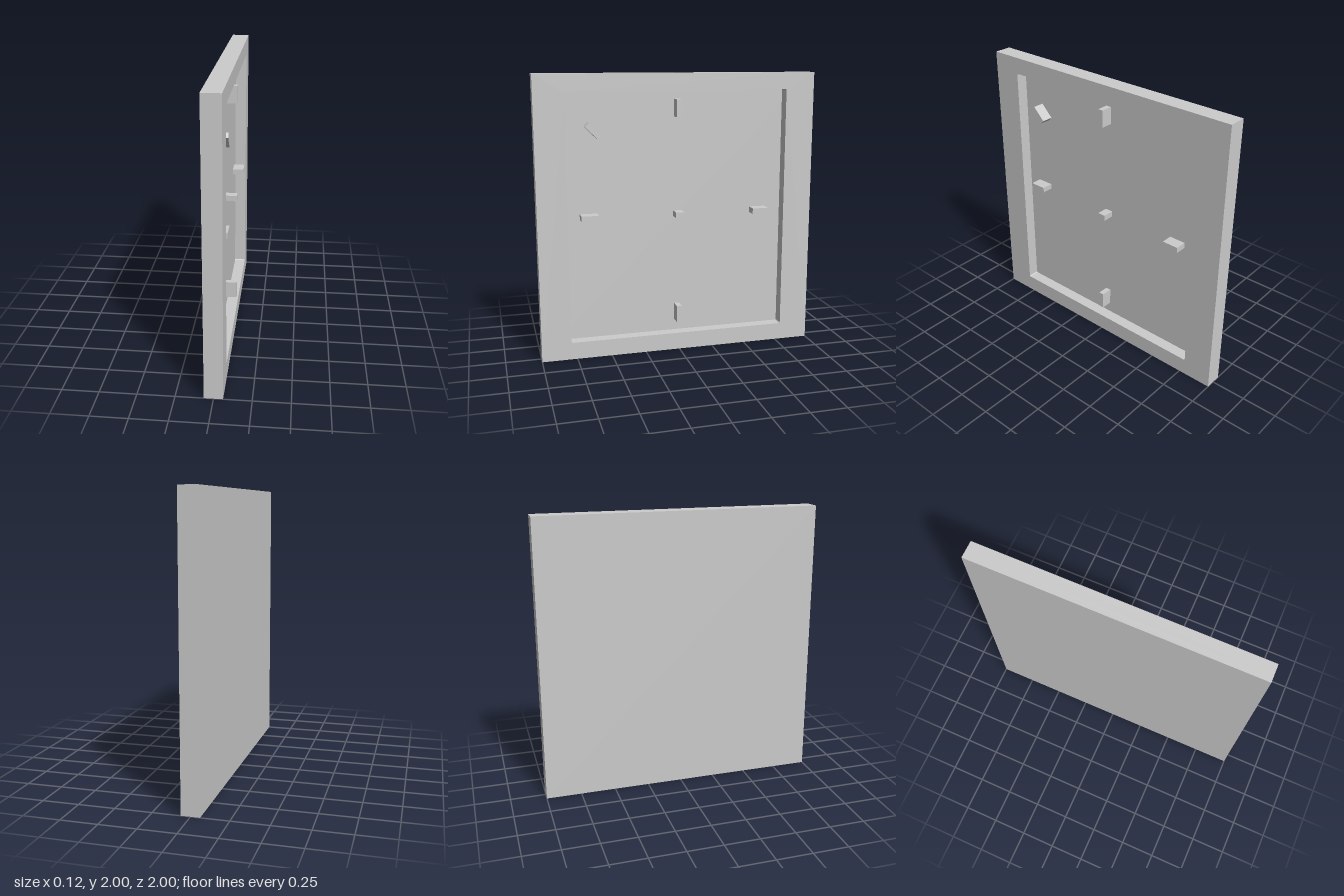
import * as THREE from 'three';

const HALF_T = 0.0625; // half of the panel thickness
const FLOOR = -0.02;   // x of the recess floor

export function createModel() {
  const group = new THREE.Group();
  const material = new THREE.MeshStandardMaterial({ color: 0xcccccc });
  const add = (name, geometry) => {
    const mesh = new THREE.Mesh(geometry, material);
    mesh.name = name;
    group.add(mesh);
    return mesh;
  };

  // Solid back of the panel
  const backDepth = FLOOR + HALF_T;
  add('backPanel', new THREE.BoxGeometry(backDepth, 2, 2))
    .position.set(-HALF_T + backDepth / 2, 1, 0);

  // Raised border with a slightly rounded rectangular opening
  const outline = new THREE.Shape([[-1, 0], [1, 0], [1, 2], [-1, 2]].map(p => new THREE.Vector2(...p)));
  const w = 0.79, y0 = 0.123, y1 = 1.883, r = 0.01;
  const opening = new THREE.Path();
  opening.absarc(w - r, y0 + r, r, -Math.PI / 2, 0);
  opening.absarc(w - r, y1 - r, r, 0, Math.PI / 2);
  opening.absarc(-w + r, y1 - r, r, Math.PI / 2, Math.PI);
  opening.absarc(-w + r, y0 + r, r, Math.PI, Math.PI * 1.5);
  opening.closePath();
  outline.holes.push(opening);
  const frame = new THREE.ExtrudeGeometry(outline, { depth: HALF_T - FLOOR, bevelEnabled: false, curveSegments: 4 });
  frame.rotateY(Math.PI / 2);
  add('frame', frame).position.x = FLOOR;

  // Small blocks standing on the recess floor: name, y, z, height, length, tilt
  const blocks = [
    ['topBlock', 1.759, 0, 0.123, 0.038, 0],
    ['bottomBlock', 0.266, 0, 0.123, 0.038, 0],
    ['frontBlock', 1.013, 0.637, 0.038, 0.123, 0],
    ['rearBlock', 1.004, -0.612, 0.041, 0.119, 0],
    ['centreBlock', 1.004, -0.005, 0.041, 0.06, 0],
    ['diagonalBlock', 1.615, 0.602, 0.038, 0.122, -Math.PI / 4],
  ];
  for (const [name, y, z, height, length, tilt] of blocks) {
    const block = add(name, new THREE.BoxGeometry(HALF_T - FLOOR, height, length));
    block.position.set((HALF_T + FLOOR) / 2, y, z);
    block.rotation.x = tilt;
  }
  return group;
}
